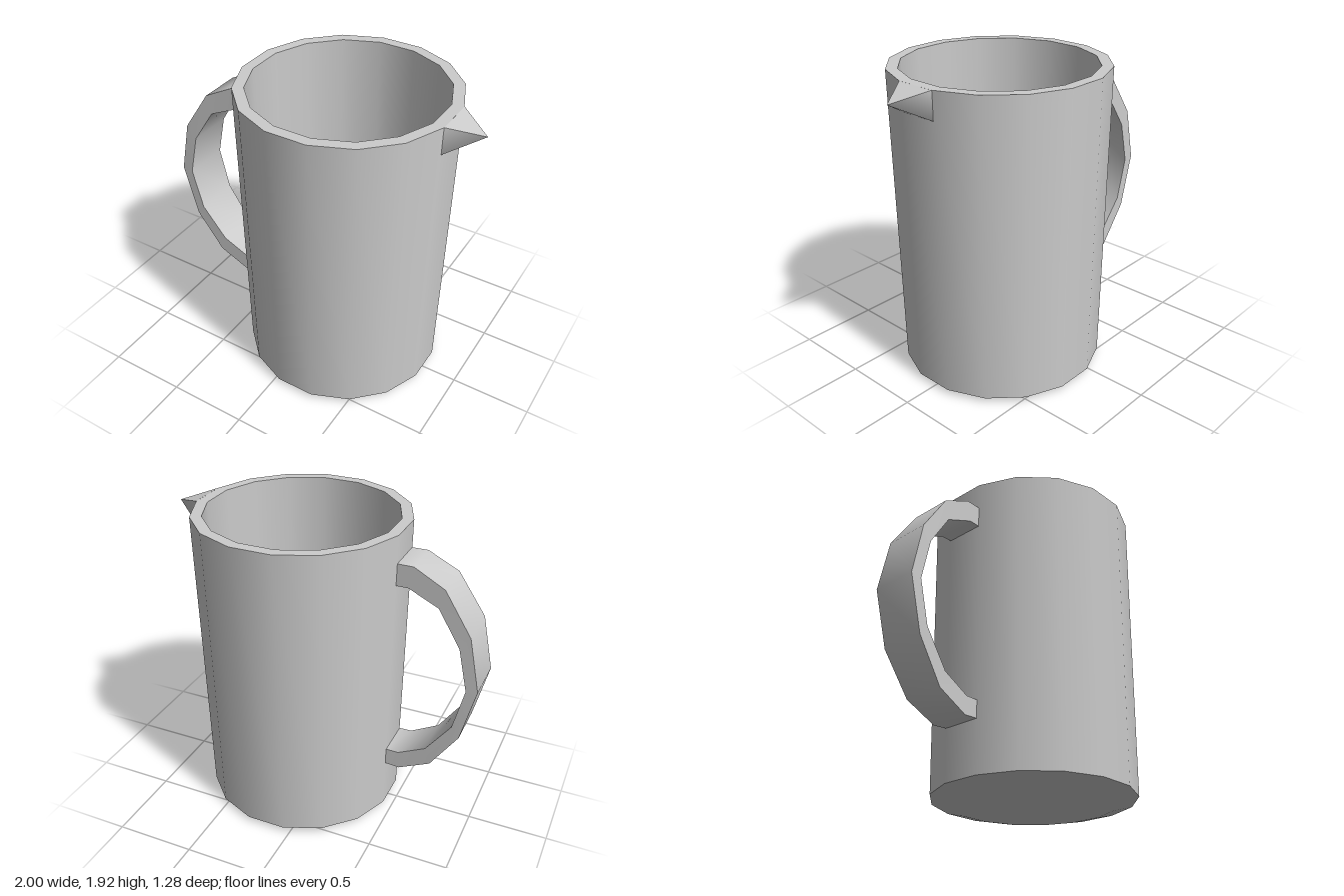
import * as THREE from 'three';

const material = new THREE.MeshStandardMaterial({ color: 0xcccccc, side: THREE.DoubleSide });
const SIDES = 16;
const CENTRE_X = 0.165;

function addMesh(parent, name, geometry) {
  const mesh = new THREE.Mesh(geometry, material);
  mesh.name = name;
  parent.add(mesh);
  return mesh;
}

// Sixteen-sided revolved surface with a flat side facing +x and -x
function ring(parent, name, profile) {
  const points = profile.map(([r, y]) => new THREE.Vector2(r, y));
  const mesh = addMesh(parent, name, new THREE.LatheGeometry(points, SIDES, Math.PI / SIDES));
  mesh.position.x = CENTRE_X;
}

// Smooth strip of quads between two rows of points
function strip(a, b) {
  const n = a.length;
  const index = [];
  for (let i = 0; i < n - 1; i++) {
    index.push(i, n + i, i + 1, n + i, n + i + 1, i + 1);
  }
  const geometry = new THREE.BufferGeometry();
  geometry.setAttribute('position', new THREE.Float32BufferAttribute([...a, ...b].flat(), 3));
  geometry.setIndex(index);
  geometry.computeVertexNormals();
  return geometry;
}

function createBody() {
  const body = new THREE.Group();
  body.name = 'body';
  ring(body, 'base', [[0, 0], [0.505, 0], [0.627, 0.03]]);
  ring(body, 'outerWall', [[0.627, 0.03], [0.652, 1.92]]);
  ring(body, 'rim', [[0.652, 1.92], [0.583, 1.92]]);
  ring(body, 'innerWall', [[0.583, 1.92], [0.583, 0.08]]);
  ring(body, 'innerFloor', [[0.583, 0.08], [0, 0.08]]);
  return body;
}

function createSpout() {
  const spout = new THREE.Group();
  spout.name = 'spout';
  const tip = [1, 1.86, 0];
  const middle = [0.8, 1.75, 0];
  const top = (s) => [0.805, 1.92, s * 0.127];
  const bottom = (s) => [0.8, 1.75, s * 0.127];
  addMesh(spout, 'spoutTop', strip([top(1), top(-1)], [tip, tip]));
  addMesh(spout, 'spoutFrontSide', strip([top(1), tip], [bottom(1), middle]));
  addMesh(spout, 'spoutBackSide', strip([middle, tip], [bottom(-1), top(-1)]));
  return spout;
}

function createHandle() {
  const handle = new THREE.Group();
  handle.name = 'handle';
  // Each section: outer x, outer y, inner x, inner y, half width
  const sections = [
    [-0.46, 1.75, -0.46, 1.615, 0.125],
    [-0.57, 1.75, -0.545, 1.615, 0.127],
    [-0.76, 1.65, -0.73, 1.53, 0.135],
    [-0.93, 1.39, -0.87, 1.31, 0.147],
    [-1.0, 1.05, -0.93, 1.04, 0.15],
    [-0.915, 0.705, -0.865, 0.77, 0.147],
    [-0.745, 0.45, -0.71, 0.555, 0.135],
    [-0.545, 0.35, -0.535, 0.465, 0.127],
    [-0.45, 0.355, -0.45, 0.465, 0.125],
  ];
  const outer = (s) => sections.map(([x, y, , , w]) => [x, y, s * w]);
  const inner = (s) => sections.map(([, , x, y, w]) => [x, y, s * w]);
  addMesh(handle, 'handleOuter', strip(outer(1), outer(-1)));
  addMesh(handle, 'handleInner', strip(inner(-1), inner(1)));
  addMesh(handle, 'handleFrontSide', strip(inner(1), outer(1)));
  addMesh(handle, 'handleBackSide', strip(outer(-1), inner(-1)));
  return handle;
}

export function createModel() {
  const pitcher = new THREE.Group();
  pitcher.name = 'pitcher';
  pitcher.add(createBody(), createSpout(), createHandle());
  return pitcher;
}
